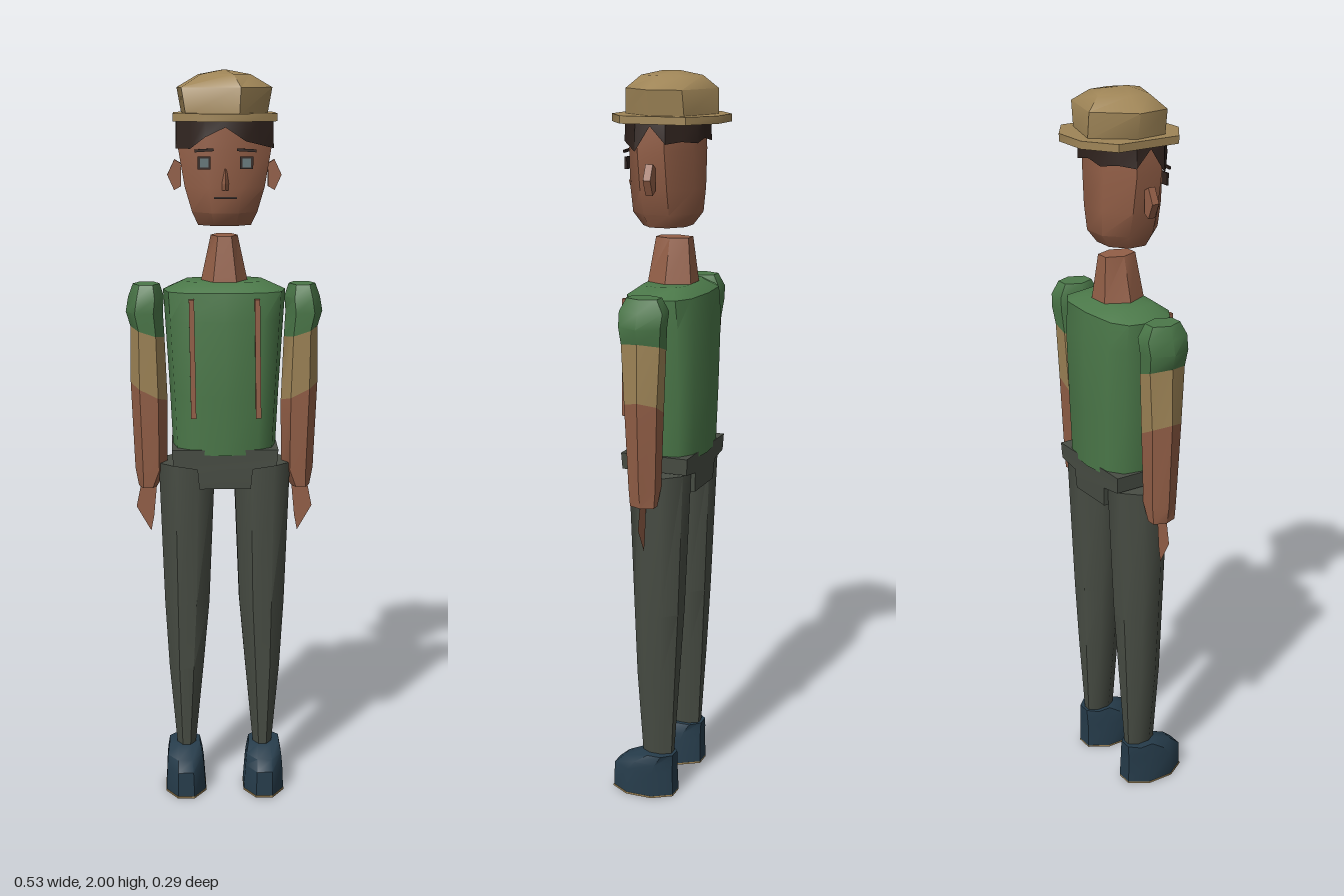
import * as THREE from 'three';
import { toCreasedNormals } from 'three/addons/utils/BufferGeometryUtils.js';

const paint = (name, color, side = THREE.FrontSide) => {
  const m = new THREE.MeshStandardMaterial({ color, side });
  m.name = name;
  return m;
};

// Unit ring of [x, z] points, stretched to fill -1..1; e < 1 makes it squarer
function ngon(n, phase = 0, e = 1) {
  const pow = v => Math.sign(v) * Math.pow(Math.abs(v), e);
  const pts = [];
  for (let i = 0; i < n; i++) {
    const a = phase + (i / n) * Math.PI * 2;
    pts.push([pow(Math.cos(a)), pow(Math.sin(a))]);
  }
  const mx = Math.max(...pts.map(p => p[0])), mz = Math.max(...pts.map(p => p[1]));
  return pts.map(([x, z]) => [x / mx, z / mz]);
}

// Skin over rings from bottom to top; section = [y or list of y, cx, cz, rx, rz, tilt]
function loft(ring, sections, { crease = 0.8, open = false } = {}) {
  const n = ring.length, pos = [], idx = [];
  sections.forEach(([y, cx, cz, rx, rz, tilt = 0]) => ring.forEach(([x, z], i) =>
    pos.push(cx + x * rx, (Array.isArray(y) ? y[i] : y) + x * tilt, cz + z * rz)));
  for (let s = 0; s < sections.length - 1; s++) {
    for (let i = 0; i < n; i++) {
      const a = s * n + i, b = s * n + (i + 1) % n;
      idx.push(a, a + n, b, b, a + n, b + n);
    }
  }
  if (!open) {
    const top = (sections.length - 1) * n;
    for (let i = 1; i < n - 1; i++) {
      idx.push(0, i, i + 1, top, top + i + 1, top + i);
    }
  }
  const g = new THREE.BufferGeometry();
  g.setAttribute('position', new THREE.Float32BufferAttribute(pos, 3));
  g.setIndex(idx);
  return toCreasedNormals(g, crease);
}

export function createModel() {
  const tan = paint('tan cloth', 0x9f8557);
  const skin = paint('skin', 0x935f47);
  const skinThin = paint('thin skin', 0x935f47, THREE.DoubleSide);
  const green = paint('green shirt', 0x4b7849);
  const grey = paint('grey trousers', 0x484d44);
  const navy = paint('navy shoes', 0x263c4b);
  const dark = paint('dark hair', 0x30231e, THREE.DoubleSide);
  const iris = paint('eye grey', 0x66777a);

  const model = new THREE.Group();
  model.name = 'standingFigure';
  const add = (name, geo, mat, parent = model) => {
    const m = new THREE.Mesh(geo, mat);
    m.name = name;
    parent.add(m);
    return m;
  };
  const box = (name, w, h, d, x, y, z, mat) => {
    const m = add(name, new THREE.BoxGeometry(w, h, d), mat);
    m.position.set(x, y, z);
    return m;
  };
  const oct = ngon(8, Math.PI / 8), hex = ngon(6);

  // Cap: eight-sided brim and skewed six-sided crown
  const brim = [[0.135, 0.09], [0.052, 0.147], [-0.052, 0.147], [-0.135, 0.09],
    [-0.135, -0.09], [-0.052, -0.147], [0.052, -0.147], [0.135, -0.09]];
  add('capBrim', loft(brim, [[1.87, 0, 0, 1, 1], [1.89, 0, 0, 1, 1]]), tan);
  const crown = [[0.125, 0.02], [0.04, 0.118], [-0.113, 0.072],
    [-0.125, -0.02], [-0.04, -0.12], [0.113, -0.075]];
  add('capCrown', loft(crown, [[1.885, 0, 0, 0.9, 0.98], [1.955, 0, 0, 1, 0.96],
    [1.988, 0, 0, 0.55, 0.65], [2, 0, 0, 0.04, 0.2]]), tan);

  // Head and neck
  add('head', loft(oct, [[1.6, 0, 0.01, 0.07, 0.06], [1.635, 0, 0.01, 0.086, 0.086],
    [1.7, 0, 0.01, 0.105, 0.09], [1.8, 0, 0.01, 0.122, 0.09], [1.87, 0, 0.01, 0.12, 0.088]]), skin);
  add('neck', loft(hex, [[1.42, 0, -0.005, 0.07, 0.065], [1.46, 0, -0.005, 0.06, 0.06],
    [1.57, 0, -0.008, 0.036, 0.046]]), skin);

  // Hair under the cap, with a ragged lower edge and open temples
  const hairRing = oct.flatMap(([x, z], i) => {
    const [u, v] = oct[(i + 1) % 8];
    return [[x, z], [(x + u) / 2, (z + v) / 2]];
  });
  const hairEdge = [1.8, 1.81, 1.82, 1.855, 1.83, 1.8, 1.8, 1.865,
    1.82, 1.825, 1.82, 1.83, 1.82, 1.825, 1.82, 1.865];
  add('hair', loft(hairRing, [[hairEdge, 0, 0.01, 0.128, 0.102],
    [1.875, 0, 0.01, 0.126, 0.1]], { open: true }), dark);

  // Face
  for (const s of [-1, 1]) {
    box('eyeRim', 0.034, 0.032, 0.006, s * 0.055, 1.765, 0.101, dark);
    box('eye', 0.022, 0.022, 0.006, s * 0.055, 1.765, 0.103, iris);
    box('eyebrow', 0.05, 0.007, 0.006, s * 0.055, 1.797, 0.102, dark).rotation.z = s * -0.06;
    const ear = new THREE.Shape([[0.115, 1.7], [0.133, 1.69], [0.151, 1.73], [0.132, 1.77], [0.115, 1.76]]
      .map(([x, y]) => new THREE.Vector2(s * x, y)));
    add('ear', new THREE.ExtrudeGeometry(ear, { depth: 0.02, bevelEnabled: false }), skin);
  }
  box('mouth', 0.06, 0.005, 0.006, 0, 1.675, 0.099, dark);
  const nose = [[0, 1], [-1, -1], [1, -1]];
  add('nose', loft(nose, [[1.695, 0, 0.1, 0.016, 0.018], [1.712, 0, 0.103, 0.016, 0.02],
    [1.75, 0, 0.098, 0.006, 0.005]], { crease: 0 }), skin);

  // Shirt body with two narrow straps
  add('torso', loft(ngon(12, 0, 0.65), [[0.985, 0, -0.005, 0.14, 0.1], [1.15, 0, -0.005, 0.148, 0.105],
    [1.35, 0, -0.005, 0.16, 0.108], [1.425, 0, -0.005, 0.165, 0.1], [1.45, 0, -0.005, 0.11, 0.065]]), green);
  for (const s of [-1, 1]) {
    box('strap', 0.014, 0.32, 0.016, s * 0.087, 1.25, 0.099, skin).rotation.z = 0.015;
  }

  // Hips
  add('hips', loft(ngon(4, Math.PI / 4), [[0.89, 0, -0.005, 0.07, 0.09], [0.945, 0, -0.005, 0.075, 0.093],
    [0.955, 0, -0.005, 0.14, 0.093], [1, 0, -0.005, 0.144, 0.095]]), grey);

  for (const s of [-1, 1]) {
    // Arm: green sleeve, tan cuff, bare forearm
    const low = [1.145, s * 0.205, -0.003, 0.05, 0.046, s * 0.025];
    const high = [1.31, s * 0.208, -0.004, 0.046, 0.054, s * 0.015];
    const arm = new THREE.Group();
    arm.name = 'arm';
    model.add(arm);
    add('forearm', loft(hex, [[0.88, s * 0.21, -0.003, 0.026, 0.034],
      [0.93, s * 0.201, -0.003, 0.044, 0.038], low]), skin, arm);
    add('cuff', loft(hex, [low, high]), tan, arm);
    add('sleeve', loft(hex, [high, [1.365, s * 0.216, -0.005, 0.05, 0.058],
      [1.405, s * 0.211, -0.007, 0.048, 0.06], [1.44, s * 0.21, -0.007, 0.036, 0.042]]), green, arm);
    // Flat hand
    const hand = new THREE.Shape([[0.186, 0.885], [0.23, 0.885], [0.243, 0.82], [0.203, 0.75], [0.195, 0.79]]
      .map(([x, y]) => new THREE.Vector2(s * x, y)));
    add('hand', new THREE.ShapeGeometry(hand), skinThin, arm);

    // Leg
    add('leg', loft(oct, [[0.11, s * 0.108, -0.003, 0.025, 0.042], [0.36, s * 0.107, -0.003, 0.048, 0.056],
      [0.55, s * 0.104, -0.005, 0.062, 0.064], [0.95, s * 0.103, -0.007, 0.077, 0.078]]), grey);

    // Shoe with a thin sole
    add('shoe', loft(oct, [[0.005, s * 0.11, 0.035, 0.056, 0.09], [0.075, s * 0.111, 0.035, 0.052, 0.088],
      [0.1, s * 0.112, 0.02, 0.049, 0.074], [0.125, s * 0.113, -0.007, 0.043, 0.047]]), navy);
    add('sole', loft(oct, [[0, s * 0.11, 0.036, 0.057, 0.091], [0.005, s * 0.11, 0.036, 0.057, 0.091]]), tan);
  }
  return model;
}
